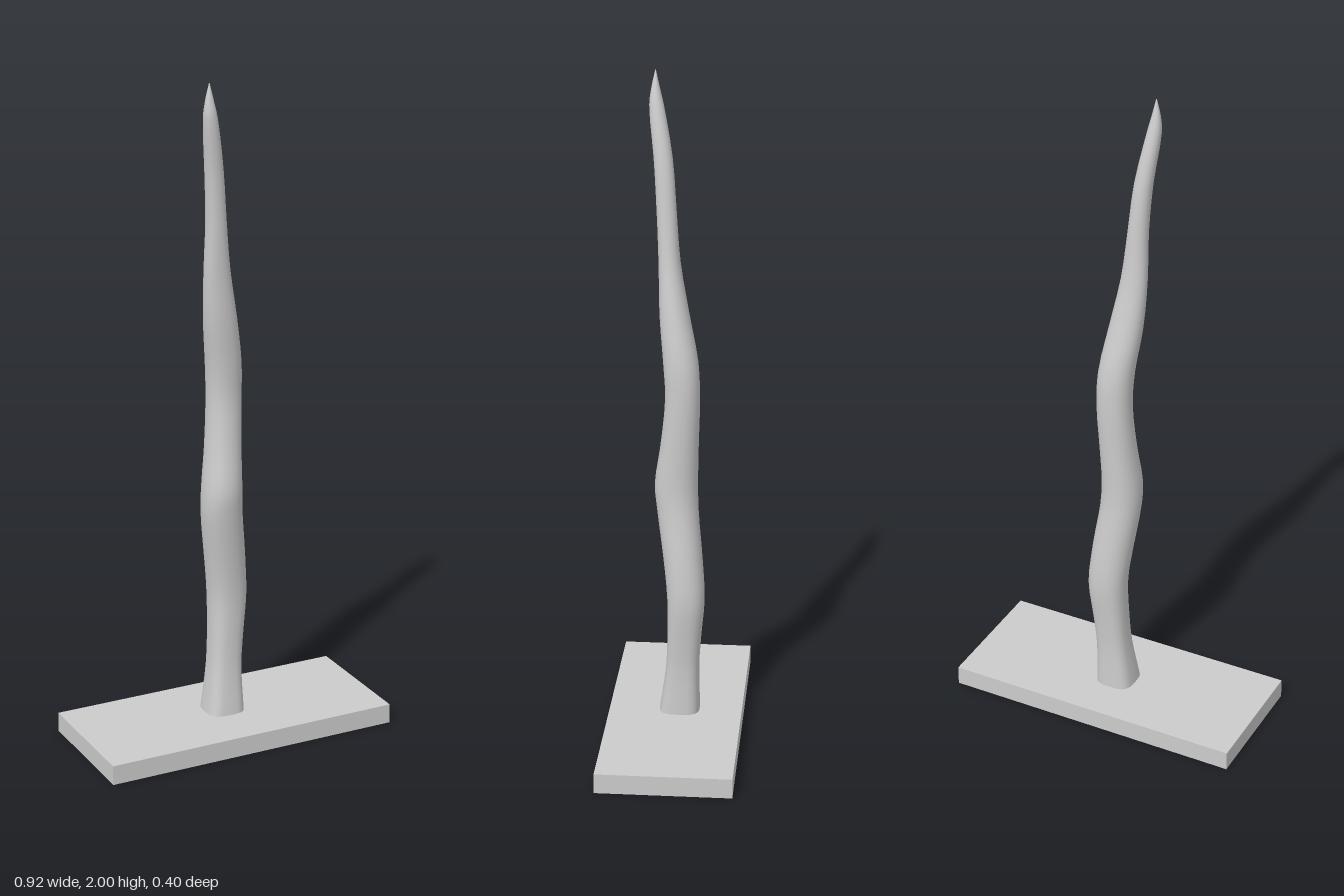
import * as THREE from 'three';

// Cross-sections of the stalk: height, x min, x max, z min, z max
const SECTIONS = [
  [0.055, -0.063, 0.056, -0.072, 0.05],
  [0.2, -0.043, 0.056, -0.07, 0.03],
  [0.31, -0.037, 0.067, -0.077, 0.025],
  [0.43, -0.037, 0.08, -0.087, 0.025],
  [0.56, -0.052, 0.071, -0.079, 0.038],
  [0.7, -0.069, 0.053, -0.066, 0.057],
  [0.78, -0.068, 0.049, -0.064, 0.064],
  [0.9, -0.055, 0.052, -0.066, 0.047],
  [1.05, -0.046, 0.058, -0.07, 0.032],
  [1.16, -0.051, 0.055, -0.065, 0.038],
  [1.3, -0.068, 0.032, -0.037, 0.05],
  [1.45, -0.075, 0.004, -0.01, 0.054],
  [1.6, -0.073, -0.013, 0.002, 0.06],
  [1.75, -0.081, -0.028, 0.014, 0.069],
  [1.9, -0.096, -0.055, 0.041, 0.083],
  [1.95, -0.092, -0.067, 0.053, 0.077],
  [2.0, -0.081, -0.079, 0.064, 0.066],
];

// Lofted, closed stalk whose rounded-square foot turns into a round tip
function stalkGeometry(sides = 24, steps = 3) {
  const centres = new THREE.CatmullRomCurve3(SECTIONS.map(([y, x0, x1, z0, z1]) =>
    new THREE.Vector3((x0 + x1) / 2, y, (z0 + z1) / 2)));
  const radii = new THREE.CatmullRomCurve3(SECTIONS.map(([y, x0, x1, z0, z1]) =>
    new THREE.Vector3((x1 - x0) / 2, y, (z1 - z0) / 2)));
  const rings = (SECTIONS.length - 1) * steps;
  const positions = [], index = [];
  for (let i = 0; i <= rings; i++) {
    const c = centres.getPoint(i / rings), r = radii.getPoint(i / rings);
    const power = 2 / (2.15 + 1.2 * Math.max(0, 1 - c.y / 0.5));
    for (let j = 0; j < sides; j++) {
      const a = (j / sides) * Math.PI * 2;
      const round = v => Math.sign(v) * Math.pow(Math.abs(v), power);
      positions.push(c.x + r.x * round(Math.cos(a)), c.y, c.z + r.z * round(Math.sin(a)));
      if (i === rings) continue;
      const k = i * sides, n = (j + 1) % sides;
      index.push(k + j, k + sides + j, k + n, k + n, k + sides + j, k + sides + n);
    }
  }
  // Close the tip
  const tip = centres.getPoint(1);
  positions.push(tip.x, 2, tip.z);
  const last = rings * sides;
  for (let j = 0; j < sides; j++) index.push(last + j, last + sides, last + (j + 1) % sides);

  const geometry = new THREE.BufferGeometry();
  geometry.setAttribute('position', new THREE.Float32BufferAttribute(positions, 3));
  geometry.setIndex(index);
  geometry.computeVertexNormals();
  return geometry;
}

export function createModel() {
  const group = new THREE.Group();
  const material = new THREE.MeshStandardMaterial({ color: 0xcccccc });

  // Flat rectangular plinth
  const base = new THREE.Mesh(new THREE.BoxGeometry(0.924, 0.06, 0.4), material);
  base.name = 'base';
  base.position.y = 0.03;

  // Wavy tapering stalk
  const stalk = new THREE.Mesh(stalkGeometry(), material);
  stalk.name = 'stalk';

  group.add(base, stalk);
  return group;
}
